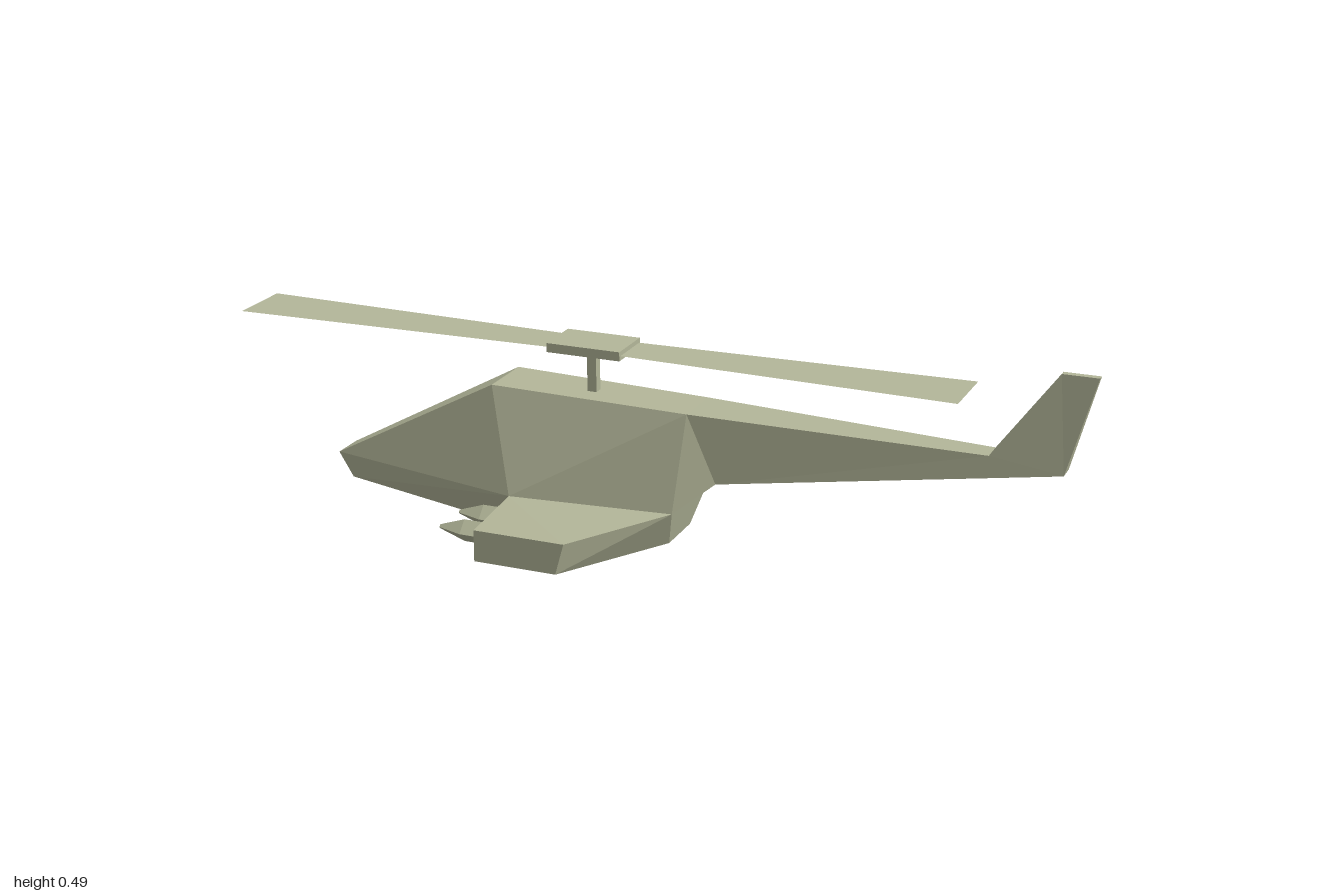
import * as THREE from 'three';

const material = new THREE.MeshStandardMaterial({ color: 0xb3b699, flatShading: true, side: THREE.DoubleSide });

const mirror = ([x, y, z]) => [x, y, -z];

// Flat-faced mesh from convex polygons (fan triangulated)
function polyMesh(name, polygons) {
  const pos = [];
  for (const p of polygons)
    for (let i = 1; i < p.length - 1; i++) pos.push(...p[0], ...p[i], ...p[i + 1]);
  const g = new THREE.BufferGeometry();
  g.setAttribute('position', new THREE.Float32BufferAttribute(pos, 3));
  g.computeVertexNormals();
  return named(name, g);
}

function named(name, geometry, x = 0, y = 0, z = 0) {
  const m = new THREE.Mesh(geometry, material);
  m.name = name;
  m.position.set(x, y, z);
  return m;
}

// Add the reflection of each polygon across z = 0
const bothSides = (polys) => polys.concat(polys.map((p) => p.map(mirror).reverse()));

// Corners of the +z side; the nose points to -x
const nose = [-0.78, 0.09, 0.04];
const roofFront = [-0.36, 0.32, 0.07];
const roofRear = [0.11, 0.31, 0.063];
const finRoot = [0.78, 0.297, 0.028];
const finFront = [0.92, 0.49, 0.008];
const finRear = [1.0, 0.49, 0.008];
const tailEnd = [0.94, 0.272, 0.022];
const boomRoot = [0.18, 0.157, 0.065];
const beltRear = [0.095, 0.09, 0.11];
const beltMid = [-0.285, 0.09, 0.148];
const bellyRear = [0.07, 0, 0.063];
const bellyMid = [-0.28, 0.002, 0.11];
const chin = [-0.75, 0.028, 0.03];

export function createModel() {
  const group = new THREE.Group();
  group.name = 'helicopter';

  // Fuselage, tail boom and fin: faceted sides joined by a strip round the profile
  const sides = [
    [nose, beltMid, roofFront], [roofFront, beltMid, roofRear],
    [beltMid, beltRear, roofRear], [beltRear, boomRoot, roofRear],
    [boomRoot, tailEnd, finRoot, roofRear], [tailEnd, finRear, finFront, finRoot],
    [chin, bellyMid, beltMid, nose],
  ];
  const profile = [nose, roofFront, roofRear, finRoot, finFront, finRear, tailEnd,
    boomRoot, beltRear, bellyRear, bellyMid, chin];
  const strip = profile.map((a, i) => {
    const b = profile[(i + 1) % profile.length];
    return [a, b, mirror(b), mirror(a)];
  });
  group.add(polyMesh('fuselage', [...bothSides(sides), ...strip]));

  // Stub wings
  const w1 = [-0.28, 0.078, 0.335], w2 = [-0.065, 0.078, 0.335];
  const w3 = [-0.085, 0.005, 0.335], w4 = [-0.28, 0.005, 0.335];
  group.add(polyMesh('stubWings', bothSides([
    [beltMid, w1, w2, beltRear],
    [w4, w3, w2, w1],
    [w3, bellyRear, beltRear, w2],
    [bellyMid, bellyRear, w3, w4],
    [bellyMid, w4, w1, beltMid],
  ])));

  // Four-sided missiles on the wing leading edges
  for (const z of [-0.28, -0.185, 0.185, 0.28]) {
    const missile = new THREE.Group();
    missile.name = 'missile';
    const body = new THREE.CylinderGeometry(0.026, 0.026, 0.06, 4).rotateZ(Math.PI / 2);
    const tip = new THREE.CylinderGeometry(0.005, 0.026, 0.06, 4).rotateZ(Math.PI / 2);
    missile.add(named('missileBody', body, -0.3), named('missileTip', tip, -0.36));
    missile.position.set(0, 0.05, z);
    group.add(missile);
  }

  // Rotor: mast, hub and two flared paper-thin blades
  const cx = -0.138;
  group.add(named('rotorMast', new THREE.BoxGeometry(0.022, 0.11, 0.022), cx, 0.362, 0.003));
  group.add(named('rotorHub', new THREE.BoxGeometry(0.176, 0.021, 0.116), cx, 0.422, 0.004));
  for (const s of [-1, 1]) {
    const blade = new THREE.Shape([
      new THREE.Vector2(0, 0.05), new THREE.Vector2(s * 0.861, 0.079),
      new THREE.Vector2(s * 0.861, -0.079), new THREE.Vector2(0, -0.05),
    ]);
    const g = new THREE.ShapeGeometry(blade).rotateX(-Math.PI / 2);
    group.add(named('rotorBlade', g, cx, 0.422, 0.003));
  }
  return group;
}
